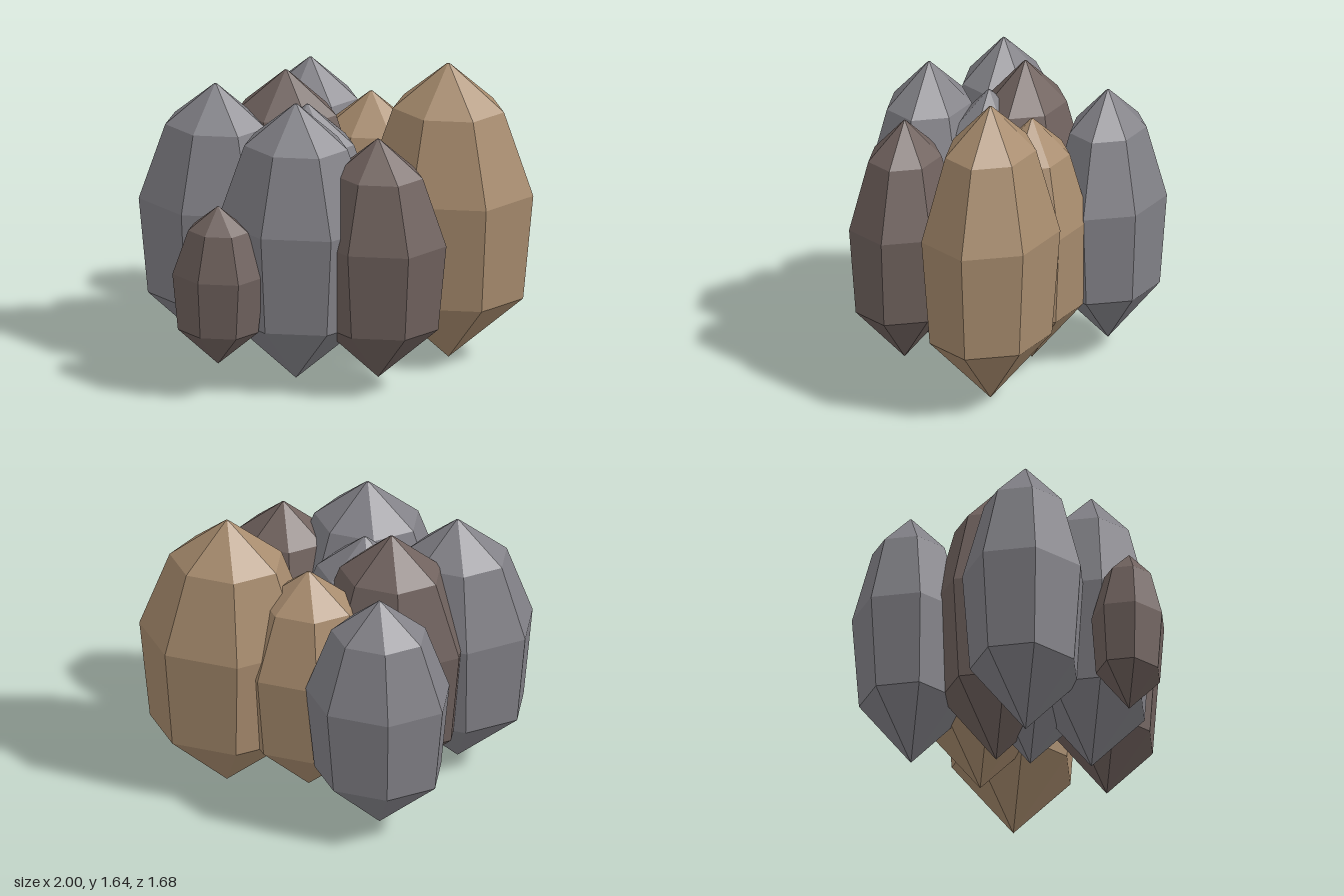
import * as THREE from 'three';

const SIDES = 7;
const DEPTH = 0.78;   // each boulder is narrower front to back
const RING_Y = 0.37;  // height shared by every lowest ring

// Outline of one boulder as [radius factor, height factor], bottom to top
const PROFILE = [[0, -0.291], [0.88, 0], [1, 0.456], [0.655, 0.81], [0.02, 1], [0, 1]];

function boulderGeometry(radius, height) {
  const points = PROFILE.map(([r, y]) => new THREE.Vector2(r * radius, RING_Y + y * height));
  // Turn the first corner to +x, squash in z, then facet
  const geometry = new THREE.LatheGeometry(points, SIDES)
    .rotateY(Math.PI / 2)
    .scale(1, 1, DEPTH)
    .toNonIndexed();
  geometry.computeVertexNormals();
  return geometry;
}

function makeMaterial(name, color) {
  const material = new THREE.MeshStandardMaterial({ color });
  material.name = name;
  return material;
}

export function createModel() {
  const group = new THREE.Group();
  group.name = 'boulderCluster';

  const tan = makeMaterial('tanStone', 0xa88c6e);
  const grey = makeMaterial('greyStone', 0x838288);
  const brown = makeMaterial('brownStone', 0x70625e);

  // name, material, x, z, radius, top
  const boulders = [
    ['largeTanBoulder', tan, 0.54, -0.2, 0.46, 1.64],
    ['rearTanBoulder', tan, 0.1, -0.275, 0.38, 1.41],
    ['rearGreyBoulder', grey, -0.31, -0.55, 0.388, 1.45],
    ['leftGreyBoulder', grey, -0.625, 0.135, 0.416, 1.525],
    ['middleGreyBoulder', grey, -0.15, 0.05, 0.385, 1.43],
    ['frontGreyBoulder', grey, -0.12, 0.37, 0.428, 1.555],
    ['middleBrownBoulder', brown, -0.31, -0.095, 0.416, 1.55],
    ['frontBrownBoulder', brown, 0.32, 0.35, 0.37, 1.4],
    ['smallBrownBoulder', brown, -0.46, 0.65, 0.248, 1.05],
  ];

  for (const [name, material, x, z, radius, top] of boulders) {
    const mesh = new THREE.Mesh(boulderGeometry(radius, top - RING_Y), material);
    mesh.name = name;
    mesh.position.set(x, 0, z);
    group.add(mesh);
  }
  return group;
}
